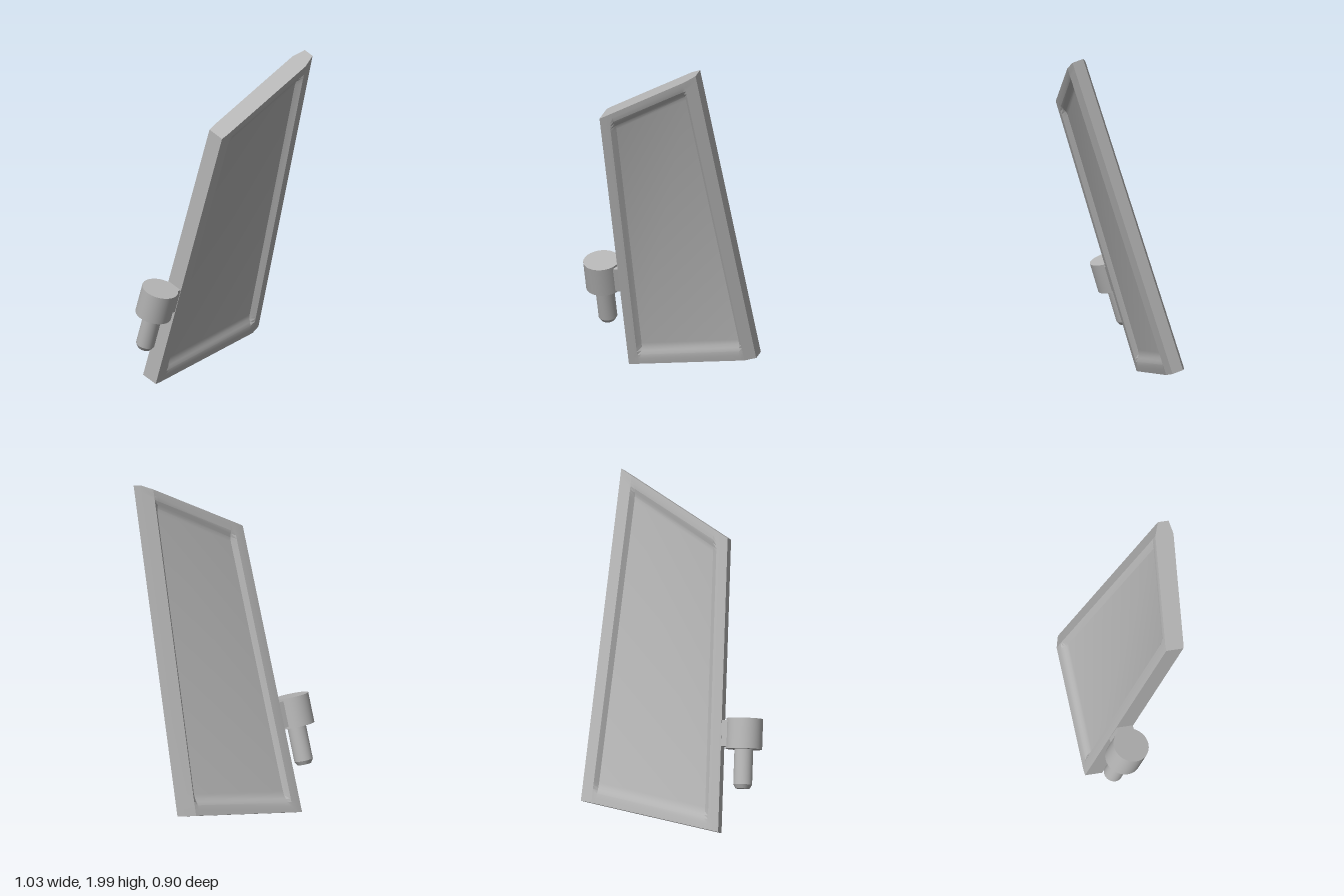
import * as THREE from 'three';
import { toCreasedNormals } from 'three/addons/utils/BufferGeometryUtils.js';

const BL = [0, 0], BR = [0.809, 0.166], TL = [0, 1.685], TR = [0.637, 2.073];
const DEPTH = 0.028;

// Tapered slab with a shallow recess on both faces
function panelGeometry() {
  // columns: [side fraction, inset from that side, half thickness, recess amount]
  const cols = [
    [0, 0, 0.053, 0], [0, 0.03, 0.056, 0], [0, 0.062, 0.056, 0], [0, 0.086, 0.056, 1],
    [1, 0.092, 0.056, 1], [1, 0.066, 0.056, 0], [1, 0, 0.033, 0],
  ];
  // rows: [end fraction, inset from that end, recess amount]; soft slopes at both ends
  const slope = [[0, 0], [0.035, 0], [0.06, 0.156], [0.08, 0.5], [0.10, 0.844], [0.125, 1]];
  const rows = [
    ...slope.map(([d, k]) => [0, d, k]),
    ...slope.slice().reverse().map(([d, k]) => [1, -d, k]),
  ];
  const nc = cols.length, nr = rows.length, pos = [], index = [];
  for (const side of [1, -1]) {
    for (const [end, dv, rk] of rows) {
      for (const [s, inset, half, ck] of cols) {
        const [a, b] = end ? [TL, TR] : [BL, BR];
        const width = b[0] - a[0];
        const f = s ? 1 - inset / width : inset / width;
        // follow the slanted right edge as the row moves inwards
        const lean = f * dv * (TR[0] - BR[0]) / (TR[1] - BR[1]);
        pos.push(a[0] + width * f + lean, a[1] + (b[1] - a[1]) * f + dv, side * (half - DEPTH * rk * ck));
      }
    }
  }
  const back = nc * nr;
  const quad = (a, b, c, d) => index.push(a, b, c, a, c, d);
  for (let r = 0; r < nr - 1; r++) {
    for (let c = 0; c < nc - 1; c++) {
      const i = r * nc + c;
      quad(i, i + 1, i + nc + 1, i + nc);
      quad(back + i, back + i + nc, back + i + nc + 1, back + i + 1);
    }
  }
  // outer walls
  const rim = [];
  for (let c = 0; c < nc - 1; c++) rim.push(c);
  for (let r = 0; r < nr - 1; r++) rim.push(r * nc + nc - 1);
  for (let c = nc - 1; c > 0; c--) rim.push((nr - 1) * nc + c);
  for (let r = nr - 1; r > 0; r--) rim.push(r * nc);
  rim.forEach((a, k) => {
    const b = rim[(k + 1) % rim.length];
    quad(a, back + a, back + b, b);
  });
  const g = new THREE.BufferGeometry();
  g.setAttribute('position', new THREE.Float32BufferAttribute(pos, 3));
  g.setIndex(index);
  return toCreasedNormals(g, 0.3);
}

export function createModel() {
  const model = new THREE.Group();
  model.name = 'hingedPanel';
  const grey = new THREE.MeshStandardMaterial({ color: 0xb4b4b4 });
  grey.name = 'grey';

  // Tilted frame: x across the panel, y along its hinge edge, z through it
  const up = new THREE.Vector3(0.345, 1.6105, 0.355).normalize();
  const across = new THREE.Vector3(0.655, 0.1395, -0.4825);
  const normal = across.cross(up).normalize();
  const right = new THREE.Vector3().crossVectors(up, normal);
  const frame = new THREE.Group();
  frame.name = 'tiltedFrame';
  frame.quaternion.setFromRotationMatrix(new THREE.Matrix4().makeBasis(right, up, normal));
  frame.position.set(-0.42, 0.0175, 0.0575);
  model.add(frame);

  const add = (name, geometry, x = 0, y = 0, z = 0) => {
    const mesh = new THREE.Mesh(geometry, grey);
    mesh.name = name;
    mesh.position.set(x, y, z);
    frame.add(mesh);
  };

  add('panel', panelGeometry());

  // Hinge: round head, downward pin with a chamfered tip, and a web to the panel
  const hingeX = -0.124;
  add('hingeHead', new THREE.CylinderGeometry(0.105, 0.105, 0.175, 40), hingeX, 0.569);
  const pin = [[0, 0.255], [0.04, 0.255], [0.054, 0.278], [0.054, 0.49]]
    .map(([x, y]) => new THREE.Vector2(x, y));
  add('hingePin', toCreasedNormals(new THREE.LatheGeometry(pin, 32), 0.5), hingeX);
  add('hingeWeb', new THREE.BoxGeometry(0.085, 0.15, 0.1), -0.036, 0.569);

  return model;
}
